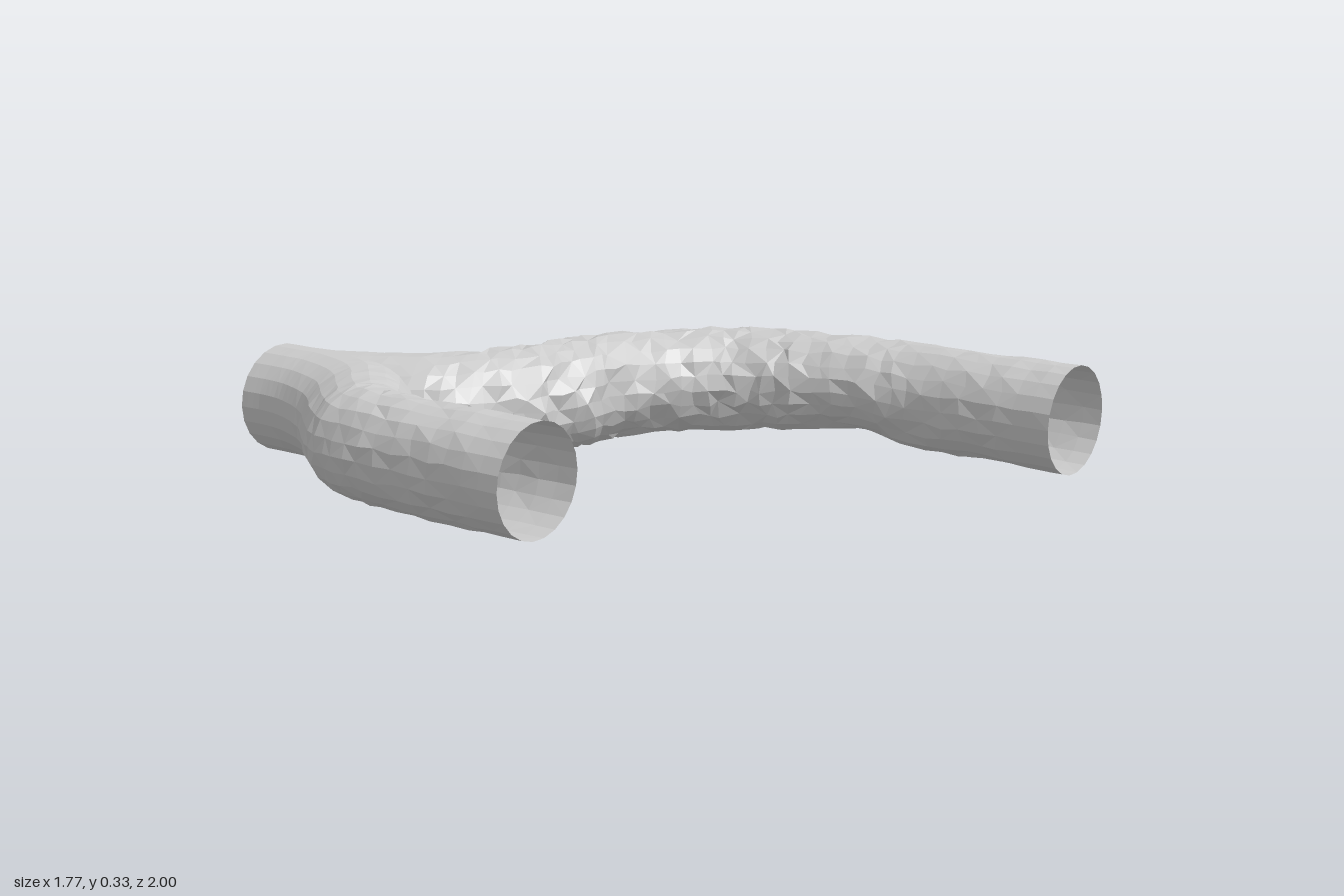
import * as THREE from 'three';

const SIDES = 22;

// small seeded generator for the rough, hand-hewn surface
function seeded(seed) {
  let s = seed;
  return () => {
    s = (s * 16807) % 2147483647;
    return s / 2147483647 - 0.5;
  };
}

// cross-sections: [inner x, z, outer x, z, bottom height, roughness]
const LEFT_ARM = [
  [-0.585, -1, -0.255, -1, 0.02, 0],
  [-0.585, -0.91, -0.255, -0.91, 0.02, 0],
  [-0.605, -0.82, -0.235, -0.81, 0.02, 0],
  [-0.67, -0.69, -0.28, -0.6, 0.02, 0.002],
  [-0.78, -0.56, -0.41, -0.46, 0.02, 0.004],
  [-0.845, -0.45, -0.51, -0.38, 0.02, 0.006],
  [-0.87, -0.27, -0.555, -0.27, 0.022, 0.008],
  [-0.88, -0.02, -0.565, -0.02, 0.02, 0.008],
  [-0.885, 0.23, -0.562, 0.23, 0.02, 0],
];
const RIGHT_ARM = [
  [-0.595, -0.83, -0.24, -0.83, 0.02, 0],
  [-0.53, -0.64, -0.165, -0.71, 0.02, 0.002],
  [-0.42, -0.45, -0.07, -0.6, 0.02, 0.006],
  [-0.27, -0.35, 0.04, -0.555, 0.02, 0.012],
  [-0.12, -0.26, 0.14, -0.54, 0.012, 0.014],
  [0.03, -0.225, 0.29, -0.51, 0.012, 0.014],
  [0.19, -0.2, 0.45, -0.43, 0.02, 0.014],
  [0.34, -0.1, 0.62, -0.3, 0.024, 0.014],
  [0.45, 0.02, 0.74, -0.16, 0.025, 0.018],
  [0.5, 0.18, 0.81, 0.02, 0.04, 0.016],
  [0.54, 0.34, 0.865, 0.27, 0.06, 0.014],
  [0.565, 0.53, 0.88, 0.5, 0.025, 0.01],
  [0.565, 0.77, 0.882, 0.76, 0.025, 0.01],
  [0.56, 1, 0.885, 1, 0.02, 0],
];

// rings of an oval tube, smoothly interpolated between the sections
function makeRings(sections, count, seed) {
  const rnd = seeded(seed);
  const curve = (f) => new THREE.CatmullRomCurve3(sections.map(f), false, 'catmullrom', 0.5);
  const inner = curve((s) => new THREE.Vector3(s[0], s[4], s[1]));
  const outer = curve((s) => new THREE.Vector3(s[2], s[5], s[3]));
  const rings = [];
  for (let i = 0; i <= count; i++) {
    const a = inner.getPoint(i / count), b = outer.getPoint(i / count);
    const bottom = a.y, rough = Math.max(0, b.y);
    const half = new THREE.Vector3((b.x - a.x) / 2, 0, (b.z - a.z) / 2);
    const center = new THREE.Vector3((a.x + b.x) / 2, (bottom + 0.335) / 2, (a.z + b.z) / 2);
    const height = (0.335 - bottom) / 2;
    const along = new THREE.Vector3(-half.z, 0, half.x).normalize();
    const points = [];
    for (let j = 0; j < SIDES; j++) {
      const angle = (j / SIDES) * Math.PI * 2 + rnd() * rough * 6;
      const swell = 1 + rnd() * rough * 7;
      const p = center.clone().addScaledVector(half, Math.cos(angle) * swell);
      p.y = Math.max(0.005, p.y + Math.sin(angle) * height * Math.min(swell, 1.02));
      p.addScaledVector(along, rnd() * rough * 2);
      points.push(p);
    }
    rings.push({ center, half, height, along, points });
  }
  return rings;
}

// true when a point lies within the tube described by the rings
function isInside(p, rings) {
  return rings.some((r) => {
    const d = p.clone().sub(r.center);
    if (Math.abs(d.dot(r.along)) > 0.025) return false;
    const u = d.dot(r.half) / r.half.lengthSq(), v = d.y / r.height;
    return u * u + v * v < 0.96;
  });
}

// open tube skin, leaving out faces buried in the other tube
function makeTube(name, rings, other, material) {
  const positions = [], index = [];
  const buried = [];
  for (const ring of rings) {
    for (const p of ring.points) {
      positions.push(p.x, p.y, p.z);
      buried.push(isInside(p, other));
    }
  }
  for (let i = 0; i < rings.length - 1; i++) {
    for (let j = 0; j < SIDES; j++) {
      const k = (j + 1) % SIDES;
      const a = i * SIDES + j, b = i * SIDES + k;
      const c = a + SIDES, d = b + SIDES;
      if (buried[a] && buried[b] && buried[c] && buried[d]) continue;
      if ((i + j) % 2) index.push(a, b, d, a, d, c);
      else index.push(a, b, c, b, d, c);
    }
  }
  const geometry = new THREE.BufferGeometry();
  geometry.setAttribute('position', new THREE.Float32BufferAttribute(positions, 3));
  geometry.setIndex(index);
  geometry.computeVertexNormals();
  const mesh = new THREE.Mesh(geometry, material);
  mesh.name = name;
  return mesh;
}

export function createModel() {
  const group = new THREE.Group();
  group.name = 'forkedTunnel';
  const material = new THREE.MeshStandardMaterial({
    color: 0xcccccc, flatShading: true, side: THREE.DoubleSide,
  });
  const left = makeRings(LEFT_ARM, 32, 11);
  const right = makeRings(RIGHT_ARM, 52, 47);
  // trunk with the short arm, and the long winding arm
  group.add(makeTube('trunkAndShortArm', left, right, material));
  group.add(makeTube('longArm', right, left, material));
  return group;
}
